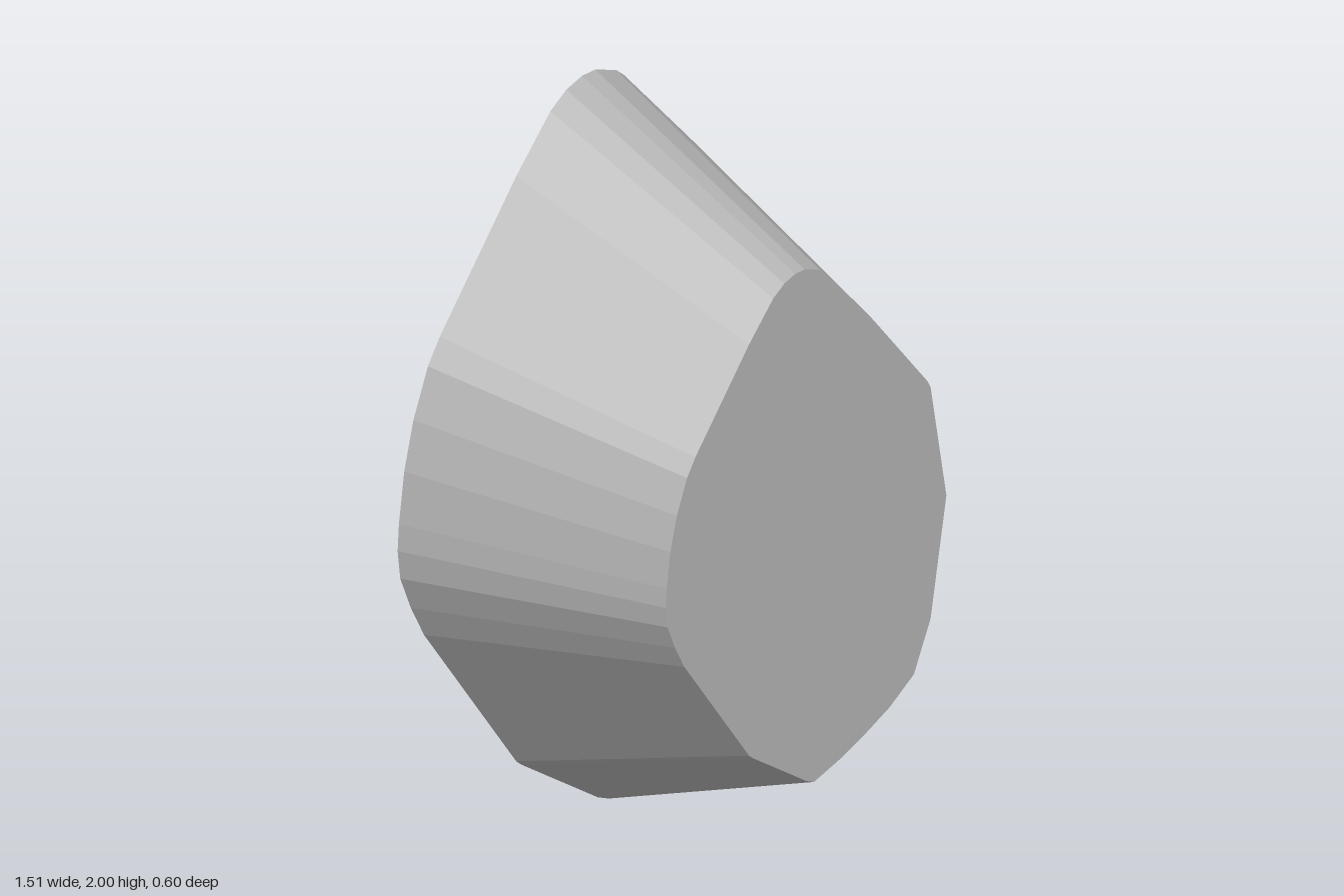
import * as THREE from 'three';

// Outline of the broad back face, counter-clockwise
const OUTLINE = [
  [0.755, 0.71], [0.67, 1.17], [0.655, 1.2], [0.35, 1.61], [0.1, 1.915],
  [0.07, 1.945], [-0.01, 1.99], [-0.06, 2], [-0.12, 1.995], [-0.18, 1.97],
  [-0.31, 1.865], [-0.6, 1.59], [-0.645, 1.535], [-0.7, 1.42], [-0.735, 1.3],
  [-0.755, 1.17], [-0.76, 1.1], [-0.75, 1.02], [-0.71, 0.92], [-0.66, 0.82],
  [-0.31, 0.29], [-0.29, 0.27], [0, 0.025], [0.04, 0], [0.17, 0.01],
  [0.3, 0.03], [0.45, 0.065], [0.58, 0.12], [0.67, 0.285],
];
const DEPTH = 0.6;
const TAPER = 0.703;

export function createModel() {
  const group = new THREE.Group();
  group.name = 'rock';

  const stone = new THREE.MeshStandardMaterial({ color: 0xb2b2b2 });
  stone.name = 'stone grey';

  const shape = new THREE.Shape(OUTLINE.map(([x, y]) => new THREE.Vector2(x, y)));
  const geometry = new THREE.ExtrudeGeometry(shape, { depth: DEPTH, bevelEnabled: false });
  geometry.translate(0, 0, -DEPTH / 2);

  // Shrink the front face so that the sides slope inwards
  const pos = geometry.attributes.position;
  for (let i = 0; i < pos.count; i++) {
    if (pos.getZ(i) > 0) {
      pos.setXY(i, pos.getX(i) * TAPER - 0.031, pos.getY(i) * TAPER + 0.305);
    }
  }
  geometry.computeVertexNormals();

  const body = new THREE.Mesh(geometry, stone);
  body.name = 'rockBody';
  group.add(body);
  return group;
}
